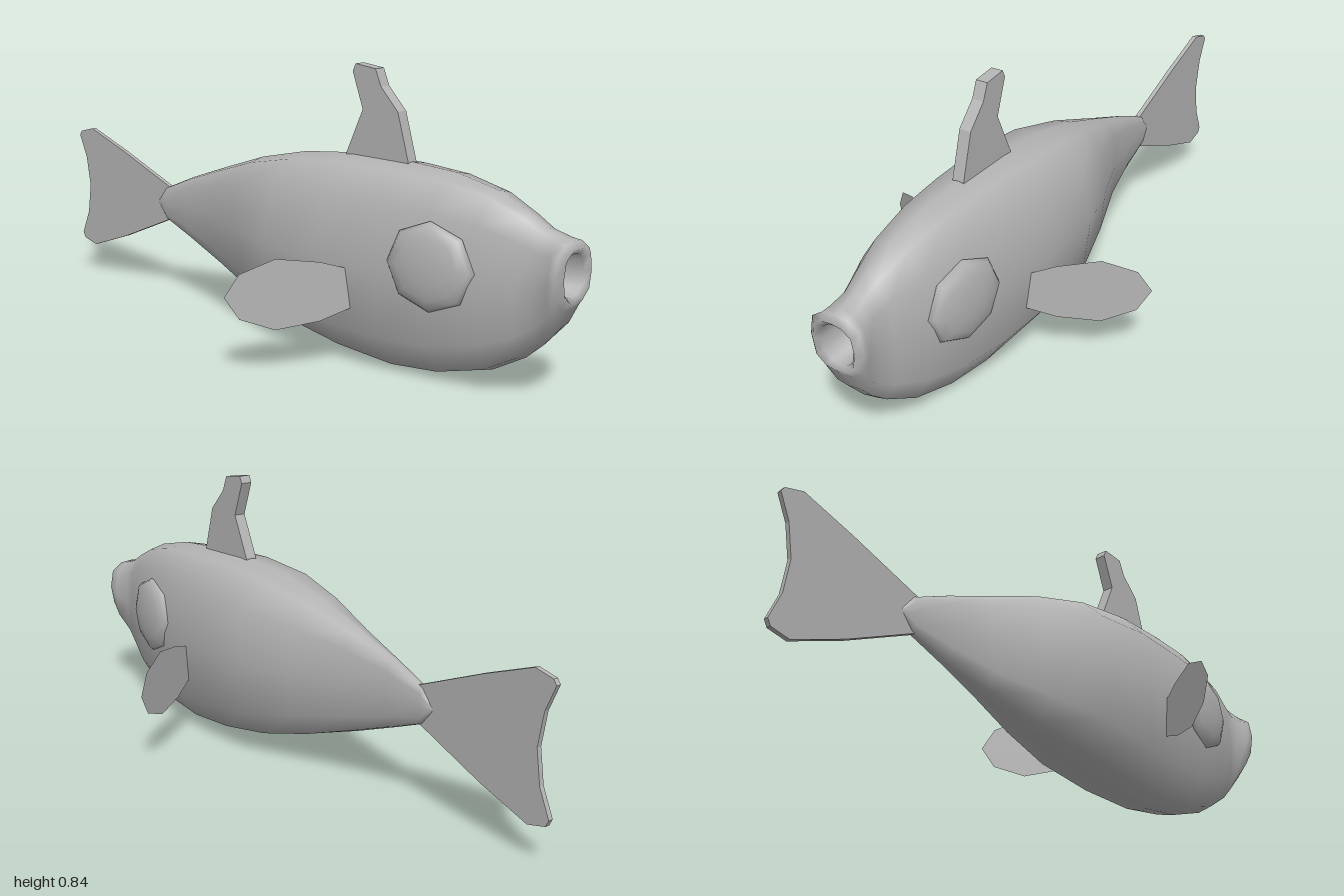
import * as THREE from 'three';

const grey = new THREE.MeshStandardMaterial({ color: 0xb4b4b4 });
grey.name = 'grey';
const greyThin = grey;
greyThin.side = THREE.DoubleSide;

// Half of the squarish twelve-sided cross-section, from top to bottom
const HALF = [[0, 1], [0.46, 0.95], [0.88, 0.67], [1, 0.03], [0.88, -0.63], [0.46, -0.95], [0, -1]];
const RING = [...HALF, ...HALF.slice(1, -1).reverse().map(([x, y]) => [-x, y])];

// Skin rings of [z, top, bottom, halfWidth], listed from front to back
function loft(sections) {
  const pos = [], index = [], n = RING.length;
  for (const [z, top, bottom, w] of sections)
    for (const [x, y] of RING) pos.push(x * w, (top + bottom) / 2 + y * (top - bottom) / 2, z);
  for (let k = 0; k < sections.length - 1; k++)
    for (let i = 0; i < n; i++) {
      const a = k * n + i, b = k * n + (i + 1) % n;
      index.push(a, b, a + n, b, b + n, a + n);
    }
  const g = new THREE.BufferGeometry();
  g.setAttribute('position', new THREE.Float32BufferAttribute(pos, 3));
  g.setIndex(index);
  g.computeVertexNormals();
  return g;
}

// Upright plate outlined by [z, y] points
function plate(points, thickness) {
  const shape = new THREE.Shape(points.map(([z, y]) => new THREE.Vector2(z, y)));
  const g = new THREE.ExtrudeGeometry(shape, { depth: thickness, bevelEnabled: false });
  return g.translate(0, 0, -thickness / 2).rotateY(-Math.PI / 2);
}

export function createModel() {
  const group = new THREE.Group();
  const add = (name, geometry) => {
    const mesh = new THREE.Mesh(geometry, grey);
    mesh.name = name;
    group.add(mesh);
    return mesh;
  };

  // Body, starting inside the open mouth and ending at the tail root
  add('body', loft([
    [0.88, 0.36, 0.36, 0],
    [0.88, 0.41, 0.31, 0.04],
    [0.985, 0.42, 0.305, 0.052],
    [1, 0.435, 0.295, 0.068],
    [0.985, 0.453, 0.275, 0.087],
    [0.96, 0.458, 0.22, 0.081],
    [0.91, 0.475, 0.16, 0.068],
    [0.86, 0.505, 0.115, 0.079],
    [0.76, 0.55, 0.057, 0.113],
    [0.62, 0.58, 0.018, 0.141],
    [0.47, 0.589, 0.005, 0.162],
    [0.28, 0.591, 0.022, 0.181],
    [0.08, 0.57, 0.058, 0.183],
    [-0.1, 0.53, 0.105, 0.128],
    [-0.27, 0.473, 0.162, 0.065],
    [-0.42, 0.42, 0.217, 0.034],
    [-0.54, 0.37, 0.262, 0.021],
    [-0.58, 0.322, 0.308, 0.01],
    [-0.58, 0.315, 0.315, 0],
  ]));

  // Tail fin
  add('tailFin', plate([
    [-0.5, 0.37], [-0.53, 0.375], [-0.76, 0.465], [-0.93, 0.525], [-0.99, 0.51], [-1, 0.495],
    [-0.967, 0.42], [-0.95, 0.32], [-0.965, 0.22], [-1, 0.14], [-0.99, 0.12],
    [-0.93, 0.105], [-0.76, 0.165], [-0.53, 0.262], [-0.5, 0.27],
  ], 0.015));

  // Dorsal fin
  add('dorsalFin', plate([
    [0.47, 0.56], [0.472, 0.59], [0.433, 0.725], [0.372, 0.79], [0.352, 0.838],
    [0.28, 0.847], [0.27, 0.825], [0.308, 0.72], [0.25, 0.59], [0.25, 0.56],
  ], 0.037));

  for (const [side, s] of [['left', 1], ['right', -1]]) {
    // Low domed eye set against the cheek
    const eye = add(side + 'Eye', new THREE.SphereGeometry(1, 8, 8).rotateZ(Math.PI / 2));
    eye.scale.set(0.036, 0.125, 0.13);
    eye.position.set(s * 0.13, 0.345, 0.635);
    eye.rotation.y = s * -0.16;

    // Flat pectoral fin, swept back towards the tip
    const outline = [
      [0.15, 0.295], [0.23, 0.323], [0.335, 0.34], [0.42, 0.303], [0.455, 0.24],
      [0.42, 0.175], [0.335, 0.137], [0.23, 0.153], [0.15, 0.187],
    ];
    const fin = new THREE.ShapeGeometry(new THREE.Shape(outline.map(([x, y]) => new THREE.Vector2(s * x, y))));
    const p = fin.attributes.position;
    for (let i = 0; i < p.count; i++) p.setZ(i, 0.38 - 0.655 * (Math.abs(p.getX(i)) - 0.165));
    fin.computeVertexNormals();
    add(side + 'PectoralFin', fin);
  }

  return group;
}
